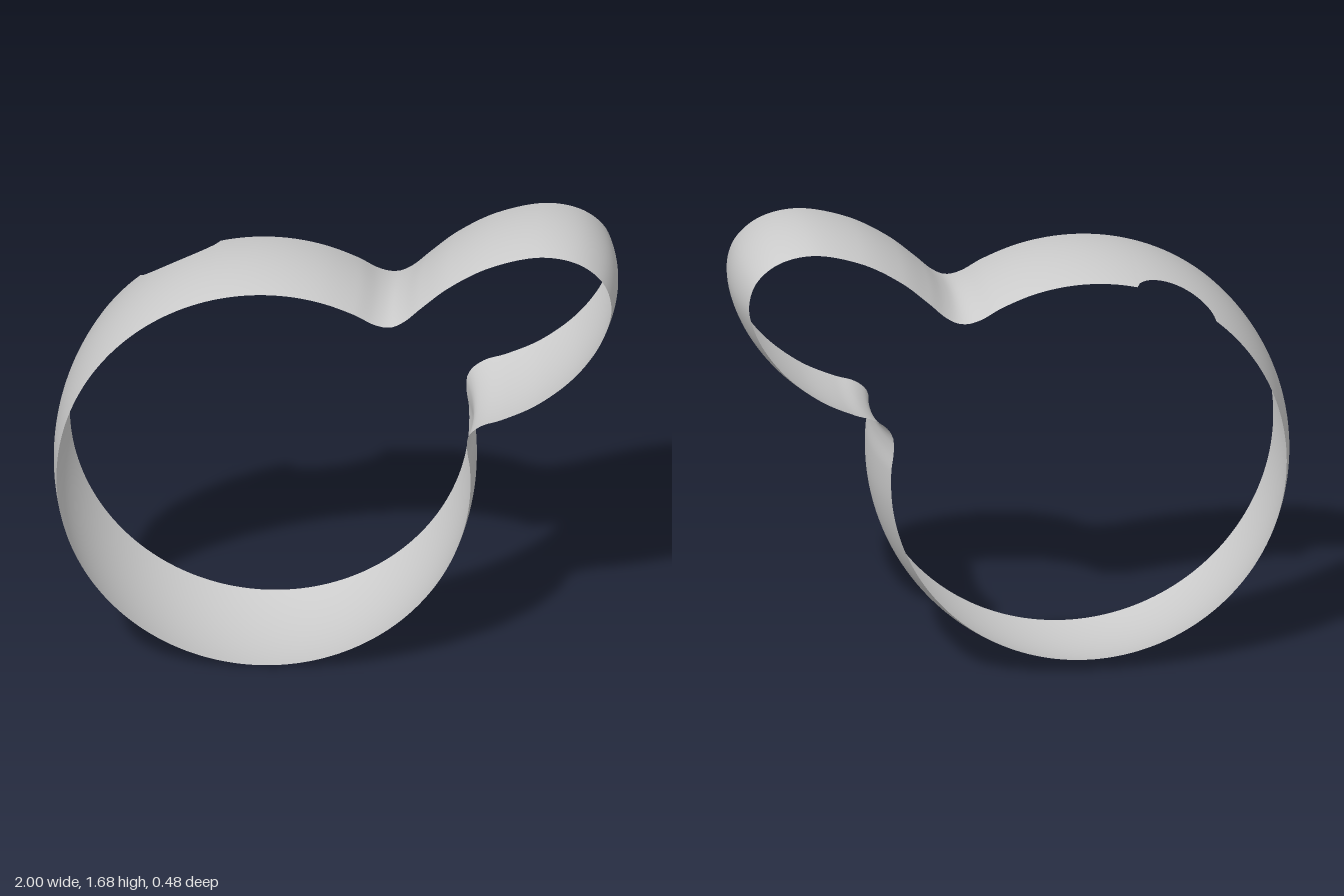
import * as THREE from 'three';

const CX = -0.25, CY = 0.765, RX = 0.75, RY = 0.76; // large round body of the loop
const COLS = 480, ROWS = 16;

// Counter-clockwise outline: large round body, neck, then the slanted oval lobe
function outline() {
  const pts = [];
  for (let deg = 64; deg <= 364; deg += 10) {
    const a = THREE.MathUtils.degToRad(deg);
    pts.push([CX + RX * Math.cos(a), CY + RY * Math.sin(a)]);
  }
  pts.push(
    [0.488, 0.9], [0.492, 0.945], [0.53, 0.98], [0.6, 1.005], [0.73, 1.07],
    [0.87, 1.19], [0.965, 1.335], [1.0, 1.47], [0.97, 1.58], [0.88, 1.66],
    [0.74, 1.69], [0.55, 1.645], [0.4, 1.56], [0.3, 1.475], [0.24, 1.42],
    [0.2, 1.4], [0.155, 1.407]
  );
  const curve = new THREE.CatmullRomCurve3(
    pts.map(([x, y]) => new THREE.Vector3(x, y, 0)), true, 'centripetal');
  curve.arcLengthDivisions = 1500;
  return curve;
}

// The front rim lies in a slightly tilted plane
const frontRim = (x, y) => 0.232 - 0.0214 * x - 0.0203 * y;

// The back rim is flat, with one rounded notch at the upper left
function backRim(x, y) {
  const u = (Math.atan2(y - CY, x - CX) - THREE.MathUtils.degToRad(116.5)) / 0.22;
  return -0.24 + (Math.abs(u) < 1 ? 0.092 * Math.pow(1 - u * u, 0.6) : 0);
}

function bandGeometry() {
  const curve = outline();
  const position = [], index = [];
  for (let i = 0; i < COLS; i++) {
    const p = curve.getPointAt(i / COLS);
    const t = curve.getTangentAt(i / COLS);
    const z0 = backRim(p.x, p.y), z1 = frontRim(p.x, p.y);
    const crown = 0.08 - 0.045 * p.y; // depth at which the wall bulges most
    const next = (i + 1) % COLS;
    for (let j = 0; j <= ROWS; j++) {
      const z = THREE.MathUtils.lerp(z0, z1, j / ROWS);
      const inset = 0.5 * (z - crown) ** 2;
      position.push(p.x - t.y * inset, p.y + t.x * inset, z);
      if (j === ROWS) continue;
      const a = i * (ROWS + 1) + j, b = next * (ROWS + 1) + j;
      index.push(a, b, b + 1, a, b + 1, a + 1);
    }
  }
  const geometry = new THREE.BufferGeometry();
  geometry.setAttribute('position', new THREE.Float32BufferAttribute(position, 3));
  geometry.setIndex(index);
  geometry.computeVertexNormals();
  return geometry;
}

export function createModel() {
  const group = new THREE.Group();
  group.name = 'loopBand';
  const band = new THREE.Mesh(
    bandGeometry(),
    new THREE.MeshStandardMaterial({ color: 0xcccccc, side: THREE.DoubleSide })
  );
  band.name = 'curvedBand';
  group.add(band);
  return group;
}
